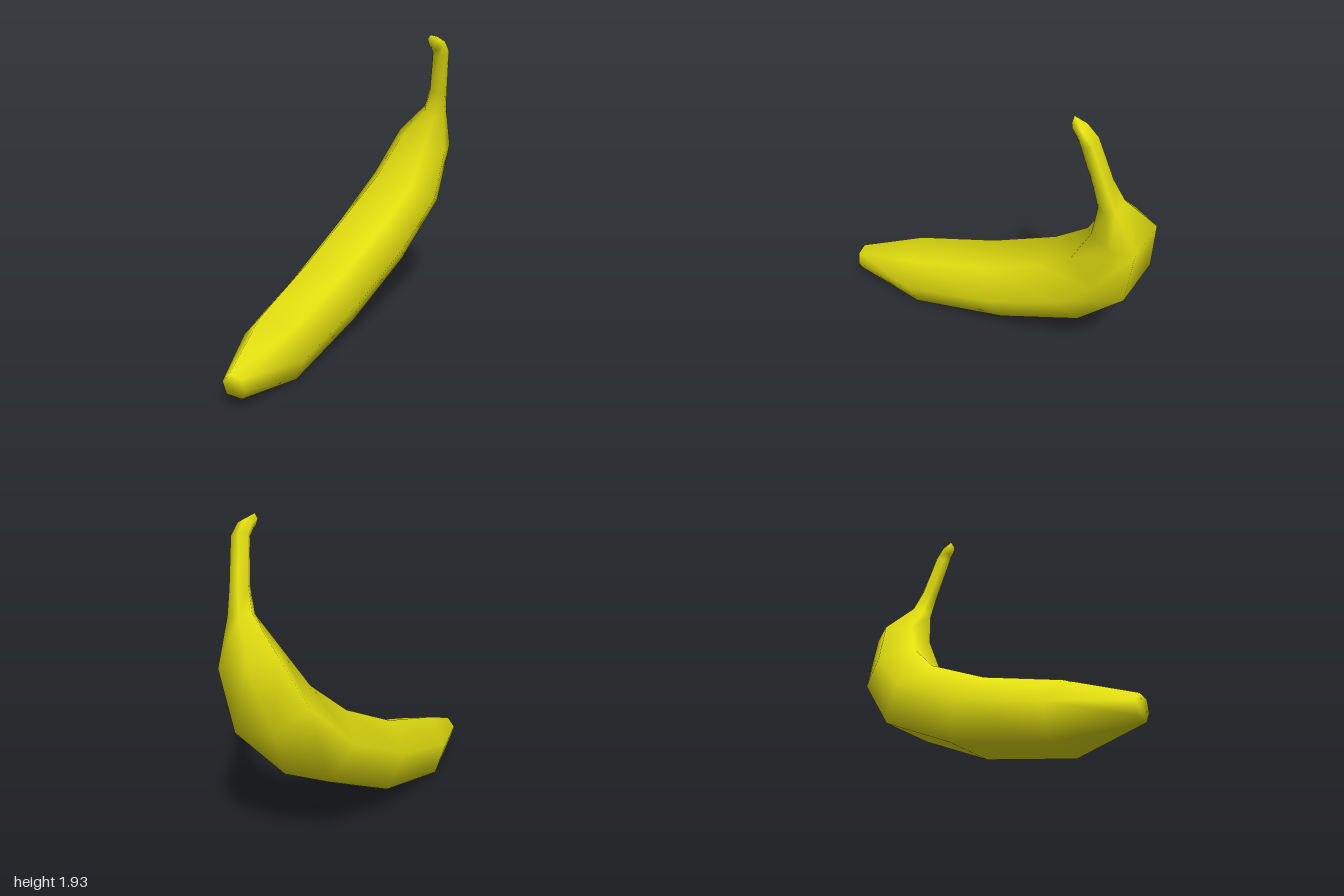
import * as THREE from 'three';

// Centre (x, y, z), radius and lean of each ring, from blossom end to stem end
const RINGS = [
  [-0.95, 0.17, 0.53, 0.078, 0],
  [-0.58, 0.203, 0.25, 0.215, 0],
  [-0.06, 0.35, -0.08, 0.243, 0.1],
  [0.395, 0.58, -0.315, 0.255, 0.14],
  [0.69, 0.865, -0.385, 0.243, 0.14],
  [0.813, 1.18, -0.365, 0.183, 0.07],
  [0.83, 1.41, -0.25, 0.076, 0],
  [0.815, 1.56, -0.195, 0.058, 0],
  [0.775, 1.83, -0.115, 0.053, 0],
  [0.735, 1.885, -0.092, 0.047, 0],
  [0.688, 1.905, -0.075, 0.035, 0.5],
];
// Cross-section of the peel: angle in degrees and relative radius of each corner
const CORNERS = [[52, 1.1], [97, 1], [153, 1], [215, 1], [275, 1], [335, 1.06]];
const SIDES = CORNERS.length;
// Normal of the plane in which the fruit bends
const SIDE = new THREE.Vector3(0.56, -0.28, 0.78).normalize();

const centres = RINGS.map(([x, y, z]) => new THREE.Vector3(x, y, z));

// Corner points around ring i, set across the bent centre line
function ringPoints(i) {
  const [, , , radius, lean] = RINGS[i];
  const before = centres[Math.max(i - 1, 0)];
  const after = centres[Math.min(i + 1, centres.length - 1)];
  const along = after.clone().sub(before).normalize();
  const outward = along.clone().cross(SIDE).normalize().addScaledVector(along, lean);
  return CORNERS.map(([degrees, scale]) => {
    const a = THREE.MathUtils.degToRad(degrees);
    return centres[i].clone()
      .addScaledVector(outward, radius * scale * Math.cos(a))
      .addScaledVector(SIDE, radius * scale * Math.sin(a));
  });
}

// Smooth closed skin over all rings, with both ends capped
function peelGeometry() {
  const points = RINGS.flatMap((_, i) => ringPoints(i));
  const index = [];
  for (let i = 0; i < RINGS.length - 1; i++) {
    for (let j = 0; j < SIDES; j++) {
      const a = i * SIDES + j, b = i * SIDES + (j + 1) % SIDES;
      const c = a + SIDES, d = b + SIDES;
      index.push(a, c, b, b, c, d);
    }
  }
  const end = points.length - SIDES;
  for (let j = 1; j < SIDES - 1; j++) {
    index.push(0, j, j + 1); // blossom tip
    index.push(end, end + j + 1, end + j); // stem end
  }
  const g = new THREE.BufferGeometry().setFromPoints(points);
  g.setIndex(index);
  g.computeVertexNormals();
  return g;
}

export function createModel() {
  const group = new THREE.Group();
  group.name = 'banana';
  const yellow = new THREE.MeshStandardMaterial({ color: 0xe4e010 });
  yellow.name = 'banana yellow';
  const peel = new THREE.Mesh(peelGeometry(), yellow);
  peel.name = 'peel';
  group.add(peel);
  return group;
}
